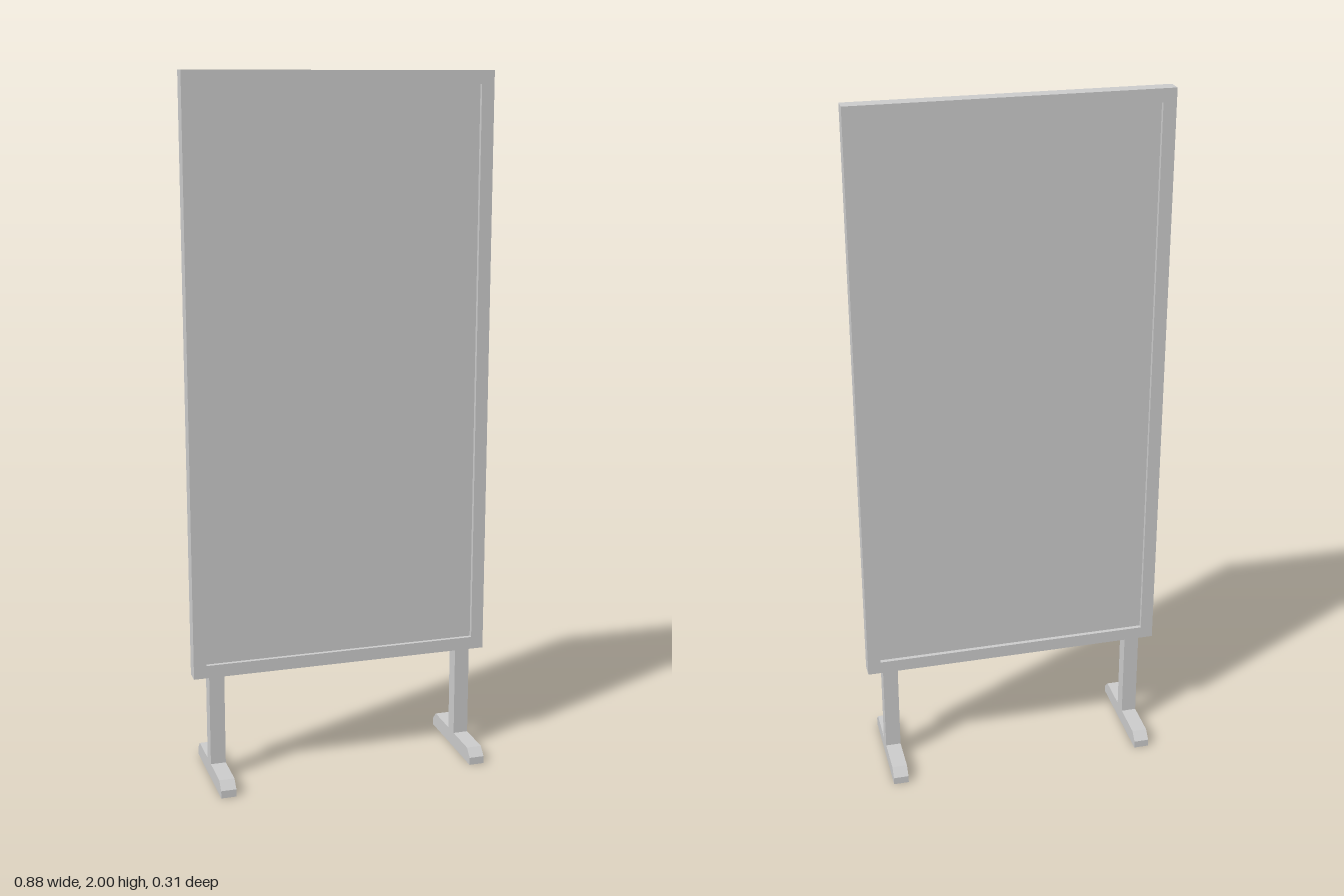
import * as THREE from 'three';

const material = new THREE.MeshStandardMaterial({ color: 0xcccccc, flatShading: true });

function addMesh(parent, name, geometry, x, y, z) {
  const mesh = new THREE.Mesh(geometry, material);
  mesh.name = name;
  mesh.position.set(x, y, z);
  parent.add(mesh);
  return mesh;
}

// Closed outline from [x, y] corners
const outline = (points) => new THREE.Shape(points.map(([x, y]) => new THREE.Vector2(x, y)));
const rect = (hw, y0, y1) => outline([[-hw, y0], [hw, y0], [hw, y1], [-hw, y1]]);

export function createModel() {
  const group = new THREE.Group();
  group.name = 'freestandingBoard';

  const depth = 0.044; // frame and post thickness
  const bottom = 0.31, top = 2, border = 0.037, halfWidth = 0.441;

  // Rectangular frame with an open middle
  const frameShape = rect(halfWidth, bottom, top);
  frameShape.holes.push(rect(halfWidth - border, bottom + border, top - border));
  const frame = new THREE.ExtrudeGeometry(frameShape, { depth, bevelEnabled: false });
  addMesh(group, 'frame', frame, 0, 0, -depth / 2);

  // Panel recessed on both faces
  const panelHeight = top - bottom - 2 * border;
  const panel = new THREE.BoxGeometry(2 * (halfWidth - border), panelHeight, 0.02);
  addMesh(group, 'panel', panel, 0, (top + bottom) / 2, 0);

  // Foot profile with chamfered toes, swept across the post width
  const footHeight = 0.045;
  const footShape = outline([
    [-0.155, 0], [0.155, 0], [0.155, 0.022], [0.132, footHeight],
    [-0.132, footHeight], [-0.155, 0.022],
  ]);
  const foot = new THREE.ExtrudeGeometry(footShape, { depth, bevelEnabled: false });
  foot.translate(0, 0, -depth / 2).rotateY(Math.PI / 2);

  // Post and foot on each side
  const post = new THREE.BoxGeometry(depth, bottom - footHeight, depth);
  for (const [side, sign] of [['left', 1], ['right', -1]]) {
    addMesh(group, side + 'Post', post, sign * 0.375, (bottom + footHeight) / 2, 0);
    addMesh(group, side + 'Foot', foot, sign * 0.375, 0, 0);
  }

  return group;
}
